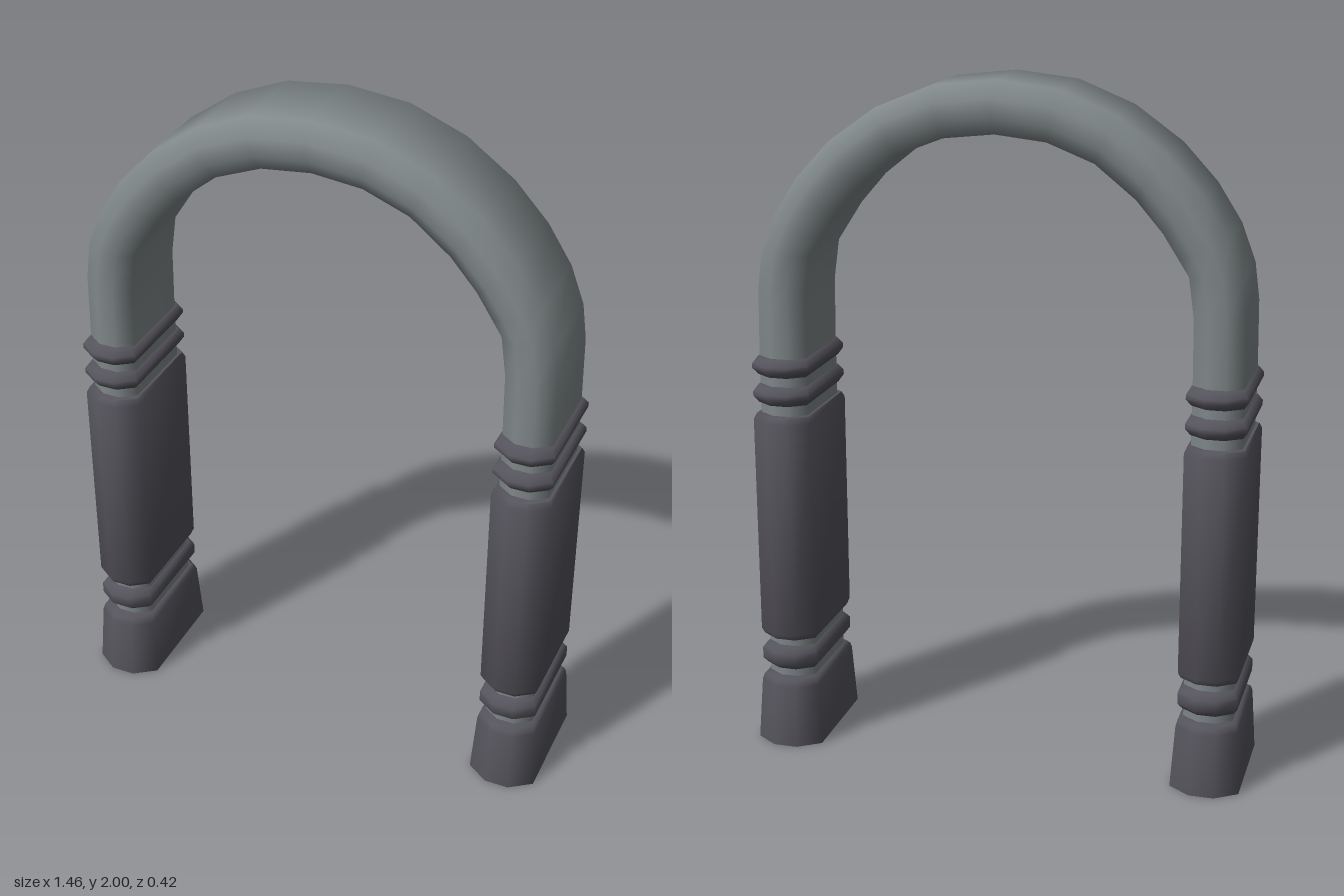
import * as THREE from 'three';
import { toCreasedNormals } from 'three/addons/utils/BufferGeometryUtils.js';

const LEG_X = 0.632;

// Chamfered rectangle (8 corners) as [u, z], chamfer scaled to the section size
function octagon(hu, hz) {
  const u = hu * 0.36, z = hz - hu * 0.45;
  return [[hu, -z], [hu, z], [u, hz], [-u, hz], [-hu, z], [-hu, -z], [-u, -hz], [u, -hz]];
}

// Skin a list of 8-corner rings and close both ends
function loft(rings, crease) {
  const n = 8, pos = rings.flat(2), index = [];
  for (let r = 0; r < rings.length - 1; r++) {
    for (let i = 0; i < n; i++) {
      const a = r * n + i, b = r * n + (i + 1) % n;
      index.push(a, a + n, b, b, a + n, b + n);
    }
  }
  const last = (rings.length - 1) * n;
  for (let i = 1; i < n - 1; i++) {
    index.push(0, i, i + 1, last, last + i + 1, last + i);
  }
  const g = new THREE.BufferGeometry();
  g.setAttribute('position', new THREE.Float32BufferAttribute(pos, 3));
  g.setIndex(index);
  return toCreasedNormals(g, crease);
}

// Stack of horizontal sections: [y, half width, half depth]
const stack = (profile) => loft(profile.map(([y, hx, hz]) =>
  octagon(hx, hz).map(([u, z]) => [u, y, z])), 1.05);

// Bulging band around a leg
const band = (y0, y1, bevel) => stack([
  [y0, 0.073, 0.168], [y0 + bevel, 0.086, 0.186],
  [y1 - bevel, 0.086, 0.186], [y1, 0.073, 0.168],
]);

function archGeometry() {
  // Outer and inner edge of one half, from the foot to the crown: [xo, yo, xi, yi]
  const half = [
    [0.703, 0.05, 0.56, 0.05], [0.703, 1.2, 0.56, 1.2], [0.7, 1.385, 0.558, 1.375],
    [0.686, 1.49, 0.542, 1.49], [0.645, 1.6, 0.513, 1.535], [0.575, 1.71, 0.468, 1.605],
    [0.476, 1.817, 0.392, 1.693], [0.338, 1.915, 0.278, 1.785],
    [0.178, 1.98, 0.145, 1.837], [0, 2, 0, 1.853],
  ];
  const mirrored = half.slice(0, -1).reverse().map(([a, b, c, d]) => [-a, b, -c, d]);
  const rings = [...half, ...mirrored].map(([xo, yo, xi, yi]) => {
    const hu = Math.hypot(xo - xi, yo - yi) / 2;
    return octagon(hu, 0.156).map(([u, z]) => {
      const t = (u / hu + 1) / 2;
      return [xi + (xo - xi) * t, yi + (yo - yi) * t, z];
    });
  });
  return loft(rings, 1.05);
}

export function createModel() {
  const group = new THREE.Group();
  const grey = new THREE.MeshStandardMaterial({ color: 0x80888a });
  const dark = new THREE.MeshStandardMaterial({ color: 0x55535b });

  const arch = new THREE.Mesh(archGeometry(), grey);
  arch.name = 'arch';
  group.add(arch);

  // Dark sleeves and bands on each leg
  const parts = {
    foot: stack([[0, 0.1, 0.208], [0.185, 0.089, 0.191], [0.2, 0.085, 0.184], [0.208, 0.077, 0.172]]),
    lowerBand: band(0.235, 0.305, 0.018),
    sleeve: stack([[0.332, 0.08, 0.177], [0.35, 0.087, 0.187], [1.003, 0.087, 0.187], [1.02, 0.08, 0.177]]),
    middleBand: band(1.053, 1.107, 0.02),
    upperBand: band(1.137, 1.19, 0.02),
  };
  for (const [side, sign] of [['left', 1], ['right', -1]]) {
    const leg = new THREE.Group();
    leg.name = side + 'Leg';
    leg.position.x = sign * LEG_X;
    for (const [name, geometry] of Object.entries(parts)) {
      const mesh = new THREE.Mesh(geometry, dark);
      mesh.name = name;
      leg.add(mesh);
    }
    group.add(leg);
  }
  return group;
}
